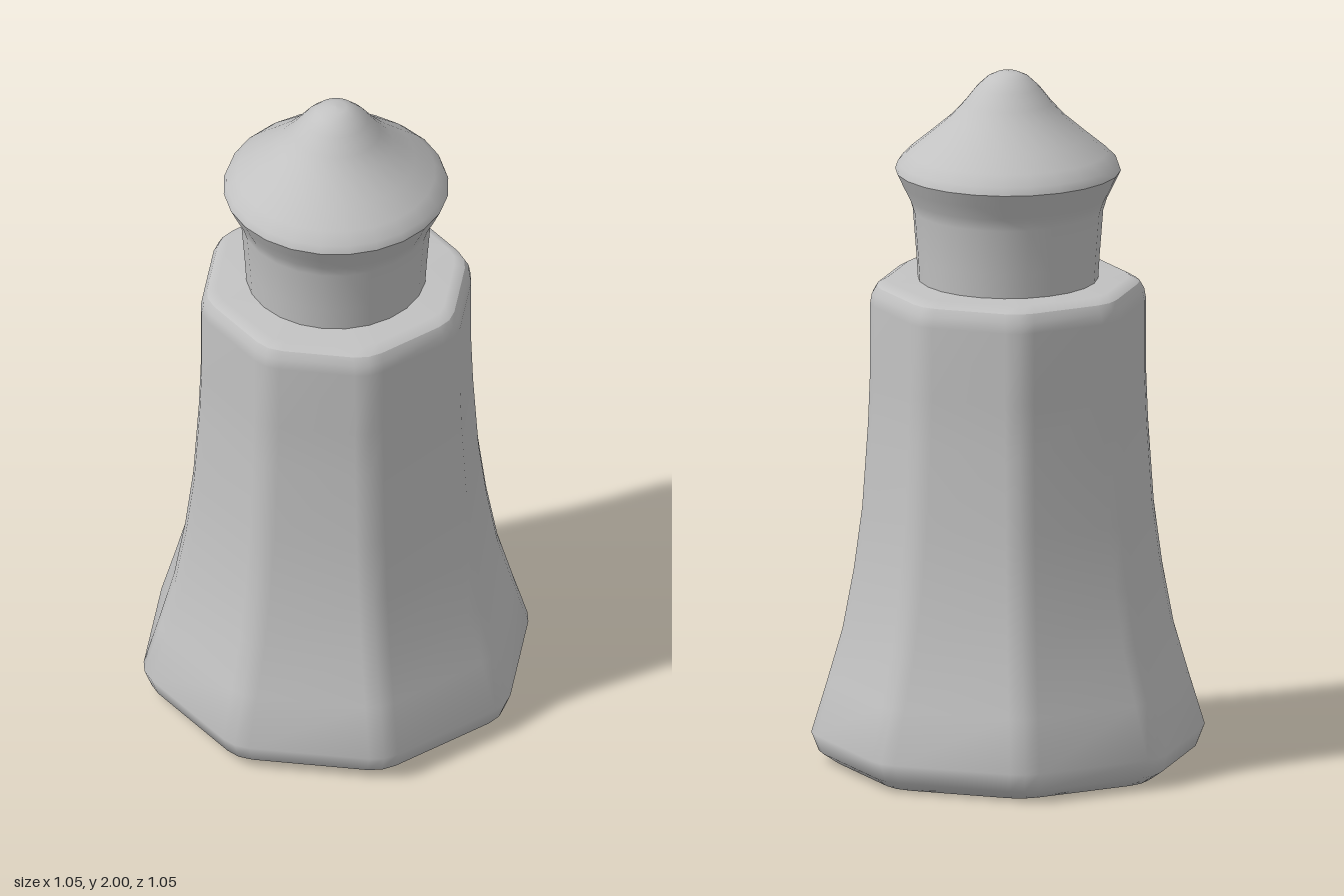
import * as THREE from 'three';

const stone = new THREE.MeshStandardMaterial({ color: 0xc2c2c2 });
stone.name = 'stone grey';

// Octagon with rounded corners: a = distance to the flats, d = corner rounding
function ring(a, y, d) {
  const pts = [];
  const half = a * Math.tan(Math.PI / 8);
  const at = (angle, out, side) => pts.push([
    out * Math.sin(angle) + side * Math.cos(angle), y,
    out * Math.cos(angle) - side * Math.sin(angle)]);
  for (let k = 0; k < 8; k++) {
    const face = k * Math.PI / 4;
    at(face, a, -(half - d));
    at(face, a, half - d);
    at(face + Math.PI / 8, a / Math.cos(Math.PI / 8) - 0.2 * d, 0);
  }
  return pts;
}

// Smooth skin through a stack of rings; optional flat lid at one end
function loft(profile, lid) {
  const rings = profile.map(([a, y, d = 0.045]) => ring(a, y, d));
  const n = rings[0].length;
  const pos = rings.flat(2);
  const index = [];
  for (let r = 0; r < rings.length - 1; r++) {
    for (let i = 0; i < n; i++) {
      const j = (i + 1) % n;
      const a = r * n + i, b = r * n + j;
      index.push(a, b, b + n, a, b + n, a + n);
    }
  }
  if (lid) {
    const edge = lid === 'top' ? rings.length - 1 : 0;
    const centre = pos.length / 3;
    pos.push(0, profile[edge][1], 0);
    for (let i = 0; i < n; i++) {
      const a = edge * n + i, b = edge * n + (i + 1) % n;
      if (lid === 'top') index.push(centre, a, b);
      else index.push(centre, b, a);
    }
  }
  const g = new THREE.BufferGeometry();
  g.setAttribute('position', new THREE.Float32BufferAttribute(pos, 3));
  g.setIndex(index);
  g.computeVertexNormals();
  return g;
}

const lathe = (pts) =>
  new THREE.LatheGeometry(pts.map(([x, y]) => new THREE.Vector2(x, y)), 24);

export function createModel() {
  const model = new THREE.Group();
  model.name = 'tower';
  const add = (name, geometry) => {
    const mesh = new THREE.Mesh(geometry, stone);
    mesh.name = name;
    model.add(mesh);
  };

  // Flared octagonal body with a rounded foot
  add('body', loft([
    [0.463, 0], [0.505, 0.03], [0.525, 0.085], [0.483, 0.235], [0.443, 0.385],
    [0.413, 0.56], [0.391, 0.74], [0.376, 0.98], [0.371, 1.12], [0.371, 1.33],
    [0.366, 1.36], [0.354, 1.383],
  ], 'bottom'));

  // Softly bevelled deck closing the body
  add('deck', loft([[0.354, 1.383], [0.325, 1.4, 0.04]], 'top'));

  // Round neck flaring out under the roof
  add('neck', lathe([
    [0.255, 1.39], [0.26, 1.47], [0.27, 1.6], [0.281, 1.635], [0.301, 1.675], [0.32, 1.715],
  ]));

  // Pointed roof with a concave slope and blunt tip
  add('roof', lathe([
    [0.32, 1.715], [0.312, 1.738], [0.282, 1.768], [0.225, 1.815], [0.163, 1.868],
    [0.125, 1.91], [0.09, 1.955], [0.058, 1.985], [0.03, 1.998], [0, 2],
  ]));

  return model;
}
